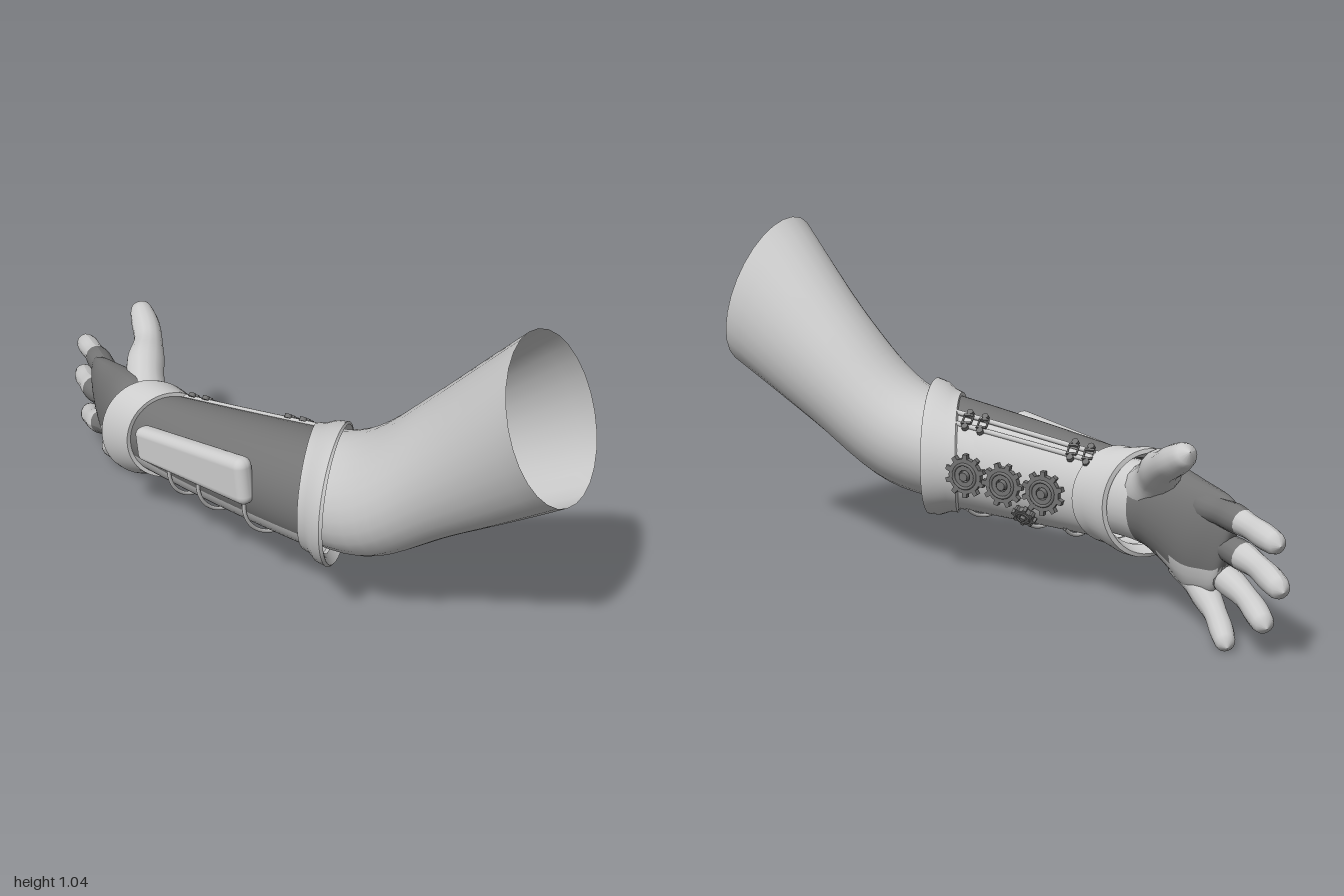
import * as THREE from 'three';
import { toCreasedNormals } from 'three/addons/utils/BufferGeometryUtils.js';
import { RoundedBoxGeometry } from 'three/addons/geometries/RoundedBoxGeometry.js';

const V = (x, y, z) => new THREE.Vector3(x, y, z);
const grey = new THREE.MeshStandardMaterial({ color: 0xcccccc, side: THREE.DoubleSide });
const dark = new THREE.MeshStandardMaterial({ color: 0x747474, side: THREE.DoubleSide });
const TAU = Math.PI * 2, rad = THREE.MathUtils.degToRad;

function mesh(geo, name, material = grey) {
  const m = new THREE.Mesh(geo, material);
  m.name = name;
  return m;
}

// Closed-around grid: fn(u index, angle) -> Vector3; isDark(point, angle) picks the dark faces
function loft(nu, nv, fn, isDark = () => false) {
  const pos = [], light = [], shade = [];
  for (let i = 0; i < nu; i++)
    for (let j = 0; j < nv; j++) {
      const angle = (j / nv) * TAU, v = fn(i, angle);
      pos.push(v.x, v.y, v.z);
      if (i === nu - 1) continue;
      const k = (j + 1) % nv, a = i * nv + j, b = a + nv, c = (i + 1) * nv + k, d = i * nv + k;
      (isDark(v, angle) ? shade : light).push(a, b, c, a, c, d);
    }
  const g = new THREE.BufferGeometry();
  g.setAttribute('position', new THREE.Float32BufferAttribute(pos, 3));
  g.setIndex([...light, ...shade]);
  if (shade.length) {
    g.addGroup(0, light.length, 0);
    g.addGroup(light.length, shade.length, 1);
  }
  g.computeVertexNormals();
  return g;
}

// Skin from palm to open upper arm: centre, half height, half depth,
// lean in x of the height and depth axes, lean in z of the height axis
function armSkin() {
  const st = [
    [-0.755, 0.25, 0.16, 0.01, 0.005, 0.3, 0, 0],
    [-0.745, 0.25, 0.16, 0.11, 0.027, 0.3, 0, 0],
    [-0.70, 0.255, 0.17, 0.142, 0.047, 0.3, 0, 0],
    [-0.62, 0.265, 0.18, 0.155, 0.07, 0.15, 0, 0],
    [-0.50, 0.305, 0.195, 0.14, 0.088, 0, 0, 0],
    [-0.40, 0.315, 0.192, 0.115, 0.092, 0, 0, 0],
    [-0.15, 0.332, 0.14, 0.12, 0.102, 0, 0.2, 0],
    [0.15, 0.355, 0.075, 0.145, 0.14, 0.05, 0.4, 0],
    [0.42, 0.405, 0.0, 0.165, 0.165, 0.25, 0.45, 0],
    [0.65, 0.58, -0.08, 0.18, 0.168, 0.36, 0.35, 0.08],
    [0.93, 0.81, -0.15, 0.235, 0.18, 0.24, 0.25, 0.22],
  ];
  const spline = k => new THREE.CatmullRomCurve3(st.map(s => V(s[k], s[k + 1], s[k + 2] ?? 0)), false, 'catmullrom', 0.5);
  const centre = spline(0), size = spline(3), lean = spline(5);
  const n = 61;
  return loft(n, 28, (i, a) => {
    const t = i / (n - 1), c = centre.getPoint(t), r = size.getPoint(t), l = lean.getPoint(t);
    const y = r.x * Math.sin(a), z = r.y * Math.cos(a);
    return V(c.x - l.x * y + l.y * z, c.y + y, c.z + z + l.z * y);
  }, v => v.x < -0.43 && v.y > 0.21);
}

// Tapered round-tipped finger, dark over the given share of its length
function finger(points, r0, r1, darkShare, name) {
  const curve = new THREE.CatmullRomCurve3(points.map(p => V(...p)));
  const n = 24, sides = 14, g = new THREE.TubeGeometry(curve, n, 1, sides);
  const p = g.attributes.position, v = V(0, 0, 0), len = curve.getLength();
  for (let i = 0; i <= n; i++) {
    const t = i / n, c = curve.getPointAt(t), left = Math.min(1, ((1 - t) * len) / r1);
    const knuckle = 1 + 0.06 * Math.cos(t * TAU * 2.5);
    const r = THREE.MathUtils.lerp(r0, r1, t) * knuckle * Math.sqrt(Math.max(0.0004, 1 - (1 - left) ** 2));
    for (let j = 0; j <= sides; j++) {
      const k = i * (sides + 1) + j;
      v.fromBufferAttribute(p, k).sub(c).multiplyScalar(r).add(c);
      p.setXYZ(k, v.x, v.y, v.z);
    }
  }
  g.computeVertexNormals();
  const split = Math.round(n * darkShare) * sides * 6;
  g.addGroup(0, split, 1);
  g.addGroup(split, g.index.count - split, 0);
  return mesh(g, name, [grey, dark]);
}

// Bracer surface at x and angle (0 = front, 90 = top)
function surf(x, a, off = 0) {
  const front = 0.267 - 0.13 * x - 0.11 * x * x, back = -0.028 - 0.36 * x;
  const low = 0.188 + 0.02 * x, high = 0.493 + 0.15 * x;
  return V(x, (low + high) / 2 + ((high - low) / 2 + off) * Math.sin(a),
    (front + back) / 2 + ((front - back) / 2 + off) * Math.cos(a));
}
const wristX = a => -0.375 - 0.045 * Math.cos(a);
const elbowX = a => 0.295 + 0.135 * Math.cos(a);

// Seat an object on the bracer, its +z pointing outward
function place(obj, x, deg, off) {
  const a = rad(deg), e = 0.01;
  const dx = surf(x + e, a).sub(surf(x - e, a)), da = surf(x, a + e).sub(surf(x, a - e));
  const n = dx.cross(da).normalize();
  obj.position.copy(surf(x, a)).addScaledVector(n, off);
  obj.lookAt(obj.position.clone().add(n));
  return obj;
}

function cuff(profile, edge) {
  const g = loft(profile.length, 48, (i, a) => surf(edge(a) + profile[i][0], a, profile[i][1]));
  return toCreasedNormals(g, 0.7);
}

function surfaceTube(n, fn, r) {
  const pts = Array.from({ length: n }, (_, i) => fn(i / (n - 1)));
  return new THREE.TubeGeometry(new THREE.CatmullRomCurve3(pts), 28, r, 8);
}

function gear(r, teeth) {
  const g = new THREE.Group(), s = new THREE.Shape();
  for (let i = 0; i < teeth; i++)
    [[0, 0.8], [0.22, 0.8], [0.3, 1], [0.62, 1], [0.7, 0.8]].forEach(([o, k], j) => {
      const a = ((i + o) / teeth) * TAU, x = Math.cos(a) * r * k, y = Math.sin(a) * r * k;
      i + j ? s.lineTo(x, y) : s.moveTo(x, y);
    });
  s.closePath();
  s.holes.push(new THREE.Path().absarc(0, 0, r * 0.28, 0, TAU, true));
  const plate = new THREE.ExtrudeGeometry(s, { depth: 0.016, bevelEnabled: false, curveSegments: 16 });
  const rim = mesh(new THREE.TorusGeometry(r * 0.55, r * 0.07, 8, 24), 'gearRim', dark);
  rim.position.z = 0.017;
  const hub = mesh(new THREE.CylinderGeometry(r * 0.2, r * 0.25, 0.024, 12).rotateX(Math.PI / 2), 'gearHub', dark);
  hub.position.z = 0.012;
  g.add(mesh(plate, 'gearPlate', dark), rim, hub);
  g.name = 'gear';
  return g;
}

// Two studs joined by a small buckle
function clasp() {
  const g = new THREE.Group();
  g.name = 'clasp';
  g.add(mesh(new THREE.TorusGeometry(0.02, 0.004, 6, 4).rotateZ(Math.PI / 4), 'buckle', dark));
  for (const s of [-1, 1]) {
    const stud = mesh(new THREE.CylinderGeometry(0.01, 0.011, 0.012, 10).rotateX(Math.PI / 2), 'stud', dark);
    stud.position.y = s * 0.028;
    const bar = mesh(new THREE.BoxGeometry(0.03, 0.007, 0.008), 'claspBar', dark);
    bar.position.set(0, s * 0.015, 0.002);
    g.add(stud, bar);
  }
  return g;
}

export function createModel() {
  const model = new THREE.Group();
  model.name = 'armoredArm';

  // Arm and hand
  model.add(mesh(armSkin(), 'arm', [grey, dark]));
  const hand = new THREE.Group();
  hand.name = 'fingers';
  hand.add(
    finger([[-0.66, 0.355, 0.17], [-0.8, 0.355, 0.135], [-0.99, 0.333, 0.08]], 0.042, 0.03, 0.5, 'indexFinger'),
    finger([[-0.66, 0.27, 0.18], [-0.85, 0.245, 0.145], [-1.0, 0.213, 0.085]], 0.042, 0.031, 0.4, 'middleFinger'),
    finger([[-0.62, 0.2, 0.19], [-0.8, 0.145, 0.165], [-0.935, 0.095, 0.105]], 0.042, 0.03, 0.35, 'ringFinger'),
    finger([[-0.56, 0.17, 0.195], [-0.7, 0.085, 0.16], [-0.825, 0.018, 0.08]], 0.045, 0.027, 0, 'littleFinger'),
    finger([[-0.44, 0.36, 0.18], [-0.53, 0.435, 0.125], [-0.62, 0.482, 0.055], [-0.74, 0.545, 0.01]], 0.07, 0.033, 0, 'thumb'));
  model.add(hand);

  // Bracer shell with a dark lid over front and top, and flared cuffs
  const n = 20;
  model.add(mesh(loft(n, 48, (i, a) =>
    surf(THREE.MathUtils.lerp(wristX(a), elbowX(a), i / (n - 1)), a),
  (v, a) => a < rad(119) || a > rad(336)), 'bracerShell', [grey, dark]));
  model.add(mesh(cuff([[-0.01, 0], [-0.04, 0.022], [-0.035, 0.033], [-0.015, 0.033], [0.04, 0.015], [0.07, 0.012], [0.07, -0.002]], wristX), 'wristCuff'));
  model.add(mesh(cuff([[-0.06, -0.002], [-0.06, 0.012], [-0.03, 0.016], [0.0, 0.03], [0.035, 0.033], [0.04, 0.025], [0.01, 0]], elbowX), 'elbowCuff'));

  // Tapered pad on the front
  const padGeo = new RoundedBoxGeometry(0.475, 0.14, 0.06, 4, 0.028);
  const p = padGeo.attributes.position;
  for (let i = 0; i < p.count; i++) p.setY(i, p.getY(i) * (0.9 + 0.6 * p.getX(i)));
  const pad = mesh(padGeo, 'frontPad');
  pad.position.set(-0.045, 0.378, 0.275);
  pad.rotation.set(0, 0.13, 0.13);
  model.add(pad);

  // Wires looping under the forearm
  for (const x of [-0.18, -0.05, 0.14])
    model.add(mesh(surfaceTube(9, t =>
      surf(x + 0.02 - 0.03 * t, rad(-8 - 115 * t), 0.002 + 0.012 * Math.sin(t * Math.PI)), 0.006), 'wire'));

  // Top seam rails with paired clasps
  for (const deg of [116, 130])
    model.add(mesh(surfaceTube(6, t => surf(-0.33 + 0.54 * t, rad(deg), 0.002), 0.008), 'seamRail'));
  for (const x of [-0.265, -0.215, 0.075, 0.125])
    model.add(place(clasp(), x, 124, 0.009));

  // Gear train on the back
  [0.07, -0.05, -0.17].forEach((x, i) => {
    const g = place(gear(0.066, 10), x, 182, 0.003 + (i % 2) * 0.006);
    g.rotateZ(i * 0.31);
    model.add(g);
  });
  model.add(place(gear(0.038, 8), -0.09, 218, 0.004));
  return model;
}
